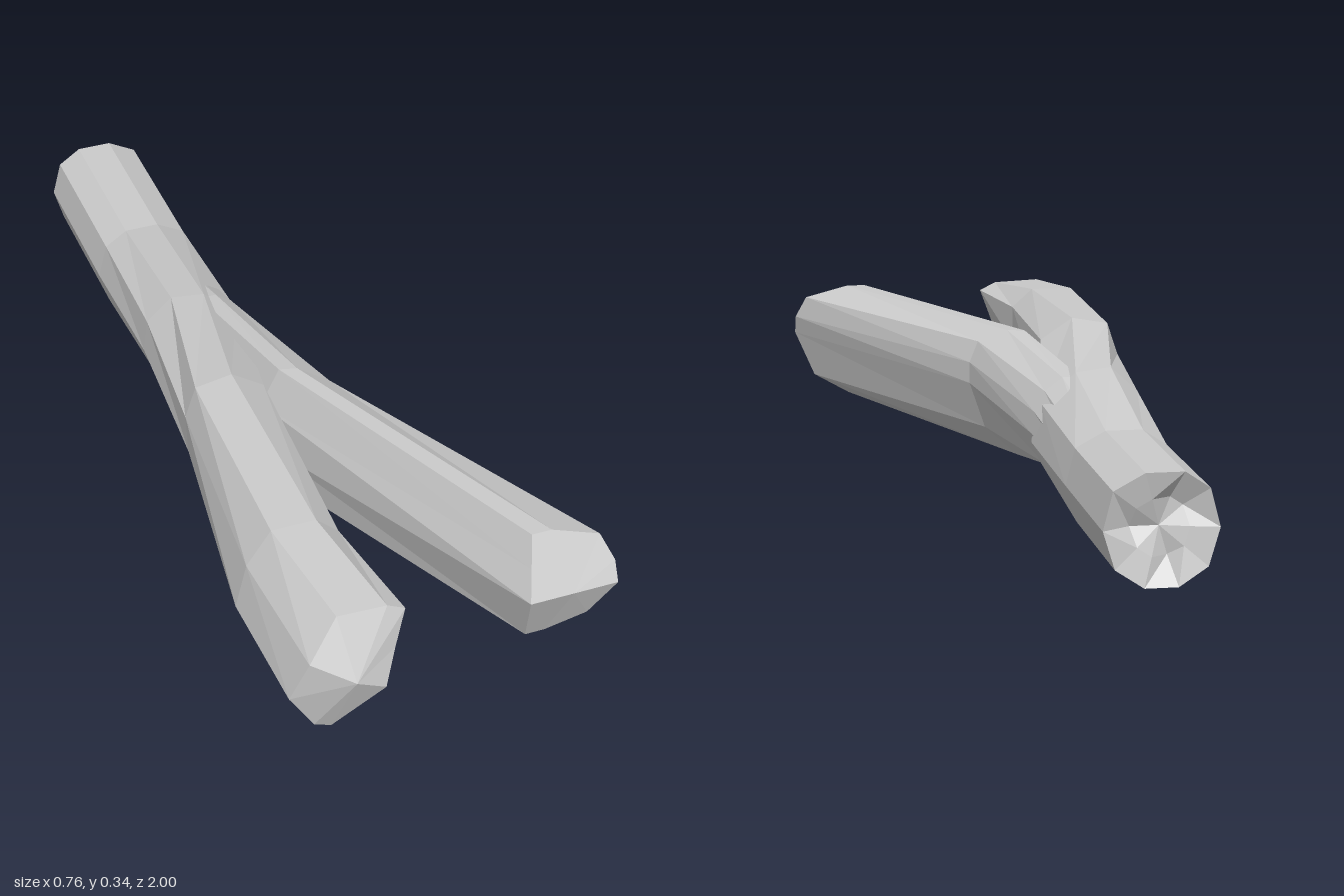
import * as THREE from 'three';

const SIDES = 10;

// Cross-section: x,y pairs clockwise from top left; dz pushes single corners forward
function ring(z, xy, dz = []) {
  return Array.from({ length: SIDES }, (_, i) =>
    new THREE.Vector3(xy[2 * i], xy[2 * i + 1], z + (dz[i] || 0)));
}

// Ring shrunk towards a centre point, with alternating depth for a rough cut
function inset(source, centre, scale, depth, rough) {
  return source.map((p, i) => {
    const q = p.clone().lerp(centre, 1 - scale);
    q.z = p.z + depth + (i % 3 === 0 ? rough : 0);
    return q;
  });
}

// Skin over successive rings, closed by a fan at both ends
function loft(name, rings, startTip, endTip, material) {
  const points = [...rings.flat(), startTip, endTip];
  const start = points.length - 2, end = points.length - 1;
  const index = [];
  for (let i = 0; i < SIDES; i++) {
    const j = (i + 1) % SIDES;
    for (let r = 0; r < rings.length - 1; r++) {
      const a = r * SIDES, b = a + SIDES;
      index.push(a + i, b + i, a + j, a + j, b + i, b + j);
    }
    const last = (rings.length - 1) * SIDES;
    index.push(start, i, j, end, last + j, last + i);
  }
  const indexed = new THREE.BufferGeometry().setFromPoints(points);
  indexed.setIndex(index);
  const geometry = indexed.toNonIndexed();
  geometry.computeVertexNormals();
  const mesh = new THREE.Mesh(geometry, material);
  mesh.name = name;
  return mesh;
}

export function createModel() {
  const wood = new THREE.MeshStandardMaterial({ color: 0xcccccc, flatShading: true });
  const group = new THREE.Group();
  group.name = 'forkedBranch';

  // Trunk with a hollowed rough cut, running on into the bent limb
  const butt = [-0.21, 0.235, -0.13, 0.235, -0.065, 0.2, -0.045, 0.12, -0.07, 0.04,
    -0.13, 0, -0.2, 0, -0.26, 0.04, -0.283, 0.12, -0.262, 0.2];
  const cut = ring(-1, butt);
  const heart = new THREE.Vector3(-0.165, 0.12, -0.965);
  const limb = [
    inset(cut, heart, 0.5, 0.015, 0.02),
    cut,
    ring(-0.61, butt),
    ring(-0.23, [-0.22, 0.295, -0.14, 0.285, -0.06, 0.22, -0.04, 0.13, -0.06, 0.085,
      -0.13, 0.06, -0.2, 0.06, -0.265, 0.09, -0.29, 0.16, -0.28, 0.24]),
    ring(0.15, [-0.29, 0.325, -0.205, 0.34, -0.13, 0.29, -0.12, 0.18, -0.125, 0.09,
      -0.14, 0.02, -0.2, 0.02, -0.27, 0.07, -0.31, 0.15, -0.315, 0.25]),
    ring(0.66, [-0.3, 0.325, -0.2, 0.325, -0.15, 0.28, -0.15, 0.19, -0.17, 0.1,
      -0.23, 0.04, -0.29, 0.035, -0.34, 0.07, -0.38, 0.14, -0.355, 0.245]),
    ring(0.93, [-0.26, 0.305, -0.15, 0.3, -0.11, 0.28, -0.14, 0.205, -0.17, 0.13,
      -0.22, 0.07, -0.27, 0.01, -0.31, 0.03, -0.365, 0.12, -0.33, 0.225],
    [0, 0, 0, 0.025, 0.055, 0.03, 0.005, 0.01, 0.01, 0.035]),
  ];
  group.add(loft('trunkAndLimb', limb, heart, new THREE.Vector3(-0.24, 0.175, 1), wood));

  // Straight side limb, growing out of the trunk and ending in a wedge
  const root = inset(ring(-0.61, butt), heart, 0.6, 0, 0);
  const sideLimb = [
    root,
    ring(-0.23, [-0.15, 0.275, -0.11, 0.275, -0.07, 0.245, -0.045, 0.2, -0.04, 0.15,
      -0.07, 0.08, -0.12, 0.06, -0.15, 0.07, -0.2, 0.15, -0.2, 0.22]),
    ring(0.13, [-0.09, 0.315, -0.05, 0.315, 0.015, 0.285, 0.035, 0.235, 0.035, 0.185,
      0, 0.08, -0.07, 0.018, -0.11, 0.015, -0.13, 0.11, -0.13, 0.22],
    [0.01, 0.02, 0.05, 0.05, 0.05, 0.04, 0.01]),
    ring(0.85, [0.205, 0.315, 0.25, 0.315, 0.355, 0.285, 0.38, 0.23, 0.38, 0.185,
      0.335, 0.08, 0.25, 0.035, 0.205, 0.035, 0.18, 0.185, 0.193, 0.25],
    [0, 0, 0.015, 0.045, 0.067, 0.025, 0, 0, 0.067, 0.033]),
  ];
  const rootTip = new THREE.Vector3(-0.165, 0.12, -0.61);
  group.add(loft('sideLimb', sideLimb, rootTip, new THREE.Vector3(0.28, 0.185, 0.917), wood));

  return group;
}
